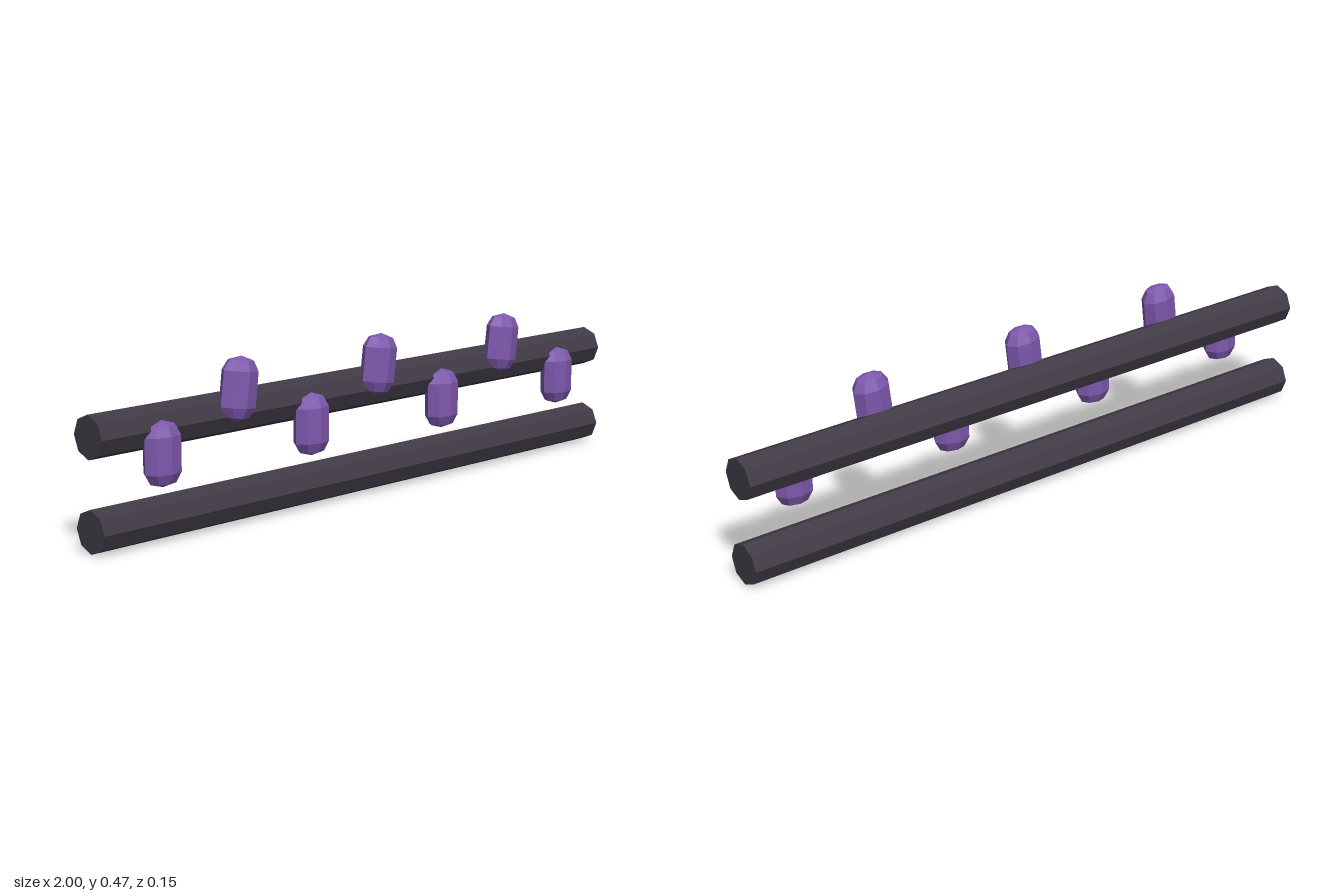
import * as THREE from 'three';

export function createModel() {
  const model = new THREE.Group();
  const railDark = new THREE.MeshStandardMaterial({ color: 0x403a45 });
  const beadPurple = new THREE.MeshStandardMaterial({ color: 0x7e58ae });

  const add = (name, geometry, material, x, y, z, tilt = 0) => {
    const mesh = new THREE.Mesh(geometry, material);
    mesh.name = name;
    mesh.position.set(x, y, z);
    mesh.rotation.z = tilt;
    model.add(mesh);
  };

  // Two octagonal rails running along x
  const rail = new THREE.CylinderGeometry(0.06, 0.06, 2, 8).rotateZ(Math.PI / 2).toNonIndexed();
  rail.computeVertexNormals();
  add('lowerRail', rail, railDark, 0, 0.06, -0.016);
  add('upperRail', rail, railDark, 0, 0.311, -0.016);

  // Faceted capsule, flattened front to back
  const bead = new THREE.CapsuleGeometry(1, 2.5, 2, 8).scale(0.058, 0.04, 0.041).toNonIndexed();
  bead.computeVertexNormals();

  // Beads alternate between a low upright row and a high leaning row
  for (let i = 0; i < 7; i++) {
    const x = -0.8 + (i * 1.6) / 6;
    if (i % 2) add('upperBead', bead, beadPurple, x, 0.382, 0.035, -0.13);
    else add('lowerBead', bead, beadPurple, x, 0.245, 0.035);
  }
  return model;
}
